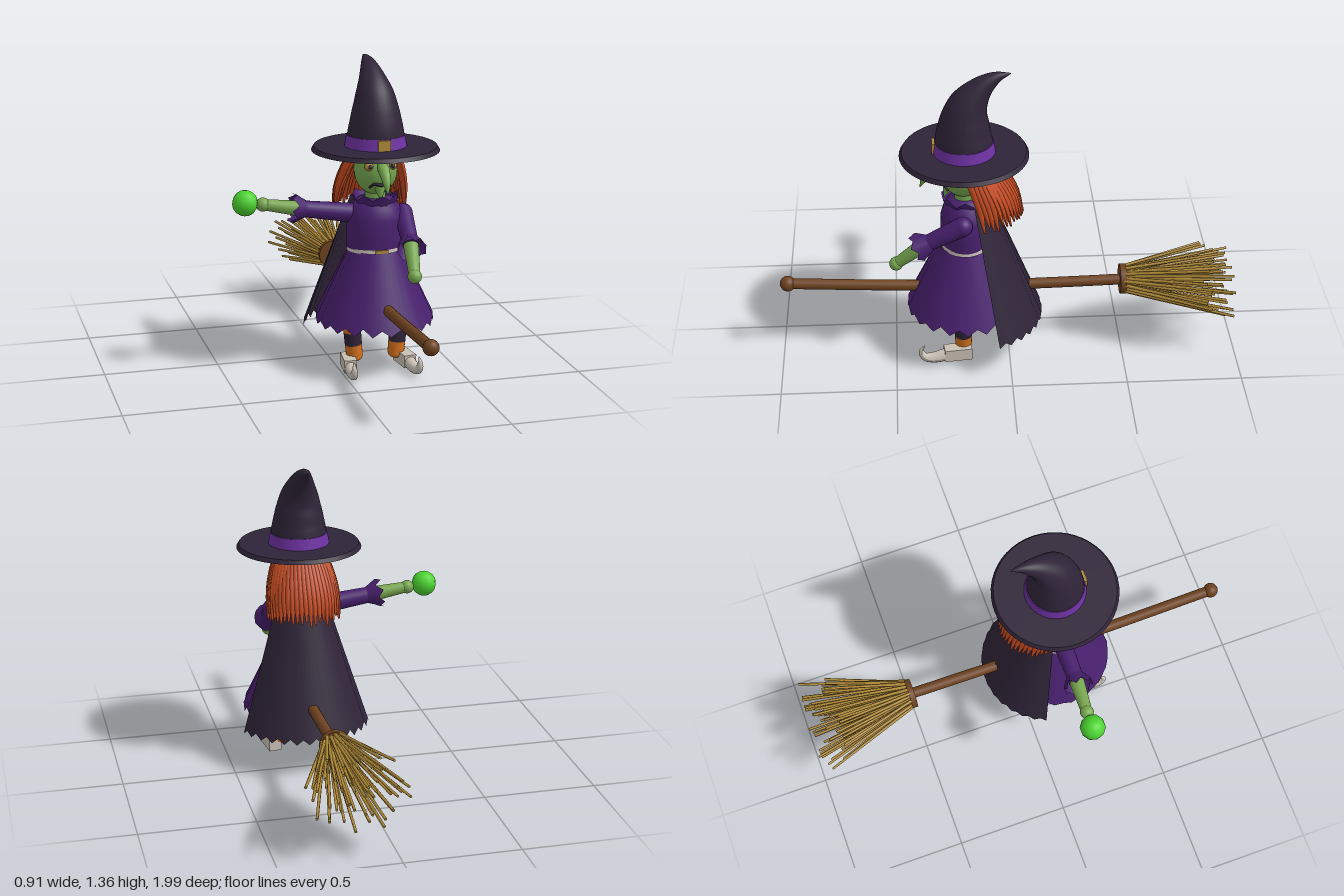
import * as THREE from 'three';

const mat = (name, color, side = THREE.FrontSide) => {
  const m = new THREE.MeshStandardMaterial({ color, side });
  m.name = name;
  return m;
};
const M = {
  dark: mat('midnight cloth', 0x2f2438, THREE.DoubleSide),
  purple: mat('purple cloth', 0x48206e, THREE.DoubleSide),
  violet: mat('violet band', 0x6f32a4),
  skin: mat('green skin', 0x78a850),
  glow: mat('bright green', 0x4cd430),
  hair: mat('red hair', 0xc44a20),
  orange: mat('orange stocking', 0xd4701c),
  wood: mat('brown wood', 0x6e4220),
  straw: mat('straw gold', 0xb08a38),
  bone: mat('pale leather', 0xc9c1b5),
};
const V = (x, y, z) => new THREE.Vector3(x, y, z);
const CX = 0.163, CZ = 0.187; // axis of the body

let seed = 7;
const rand = () => (seed = (seed * 16807) % 2147483647) / 2147483647;

export function createModel() {
  const root = new THREE.Group();
  root.name = 'broomRider';

  const add = (name, geo, m, x = 0, y = 0, z = 0, parent = root) => {
    const mesh = new THREE.Mesh(geo, m);
    mesh.name = name;
    mesh.position.set(x, y, z);
    parent.add(mesh);
    return mesh;
  };
  const ball = (name, r, m, x, y, z, sx = 1, sy = 1, sz = 1) => {
    const b = add(name, new THREE.SphereGeometry(r, 24, 16), m, x, y, z);
    b.scale.set(sx, sy, sz);
    return b;
  };
  // Straight rod from a to b
  const rod = (name, a, b, ra, rb, m, sides = 20, parent = root) => {
    const d = b.clone().sub(a);
    const mesh = add(name, new THREE.CylinderGeometry(rb, ra, d.length(), sides), m, 0, 0, 0, parent);
    mesh.position.copy(a).add(b).multiplyScalar(0.5);
    mesh.quaternion.setFromUnitVectors(V(0, 1, 0), d.normalize());
    return mesh;
  };
  // Tube along a curve whose radius follows a list of values
  const taper = (points, radii, seg, sides) => {
    const curve = new THREE.CatmullRomCurve3(points);
    const geo = new THREE.TubeGeometry(curve, seg, 1, sides);
    const p = geo.attributes.position, v = V(0, 0, 0);
    for (let i = 0; i < p.count; i++) {
      const t = Math.floor(i / (sides + 1)) / seg, k = t * (radii.length - 1);
      const j = Math.min(Math.floor(k), radii.length - 2);
      const r = THREE.MathUtils.lerp(radii[j], radii[j + 1], k - j);
      const c = curve.getPointAt(t);
      v.fromBufferAttribute(p, i).sub(c).multiplyScalar(r).add(c);
      p.setXYZ(i, v.x, v.y, v.z);
    }
    geo.computeVertexNormals();
    return geo;
  };
  // Open cone of cloth with a zigzag lower edge
  const ragged = (rTop, rBottom, h, teeth, depth, start = 0, sweep = Math.PI * 2, shift = 0) => {
    const n = teeth * 2;
    const geo = new THREE.CylinderGeometry(rTop, rBottom, h, n, 1, true, start, sweep);
    const p = geo.attributes.position;
    for (let i = 0; i <= n; i++) {
      const k = n + 1 + i;
      p.setZ(k, p.getZ(k) + shift);
      if (i % 2) p.setY(k, p.getY(k) + depth * (0.6 + 0.6 * rand()));
    }
    return geo;
  };

  // Hat: brim, bent crown, band and buckle
  add('hatBrim', new THREE.CylinderGeometry(0.264, 0.275, 0.018, 48), M.dark, CX, 0.985, CZ);
  add('hatCrown', taper(
    [V(CX, 0.99, CZ), V(CX, 1.1, CZ), V(CX, 1.2, 0.17), V(CX, 1.285, 0.115), V(CX, 1.335, 0.05), V(CX, 1.352, -0.01)],
    [0.13, 0.119, 0.103, 0.082, 0.055, 0.03, 0.002], 30, 32), M.dark);
  add('hatBand', new THREE.CylinderGeometry(0.125, 0.134, 0.05, 40), M.violet, CX, 1.018, CZ);
  add('hatBuckle', new THREE.BoxGeometry(0.055, 0.046, 0.012), M.straw, CX, 1.018, CZ + 0.13);

  // Head and face
  ball('head', 0.1, M.skin, CX, 0.89, 0.19, 0.94, 1.1, 0.97);
  rod('neck', V(CX, 0.72, CZ), V(CX, 0.82, CZ), 0.045, 0.045, M.skin);
  add('nose', taper([V(CX, 0.935, 0.265), V(CX, 0.91, 0.315), V(CX, 0.875, 0.35), V(CX, 0.82, 0.377)],
    [0.014, 0.026, 0.022, 0.016, 0.001], 18, 14), M.skin);
  rod('chin', V(CX, 0.832, 0.252), V(CX, 0.768, 0.275), 0.028, 0.002, M.skin);
  for (const s of [-1, 1]) {
    ball('eye', 0.019, M.straw, CX + s * 0.052, 0.92, 0.264);
    ball('pupil', 0.01, M.dark, CX + s * 0.05, 0.92, 0.278);
    rod('eyebrow', V(CX + s * 0.022, 0.942, 0.283), V(CX + s * 0.062, 0.957, 0.262), 0.006, 0.006, M.dark, 8);
  }
  add('mouth', taper([V(CX - 0.048, 0.826, 0.259), V(CX - 0.03, 0.843, 0.272), V(CX, 0.84, 0.284),
    V(CX + 0.03, 0.843, 0.272), V(CX + 0.048, 0.826, 0.259)], [0.004, 0.007, 0.007, 0.007, 0.004], 20, 8), M.dark);

  // Hair: a fan of strands round the back of the head
  const hair = new THREE.Group();
  hair.name = 'hair';
  root.add(hair);
  for (let i = 0; i < 27; i++) {
    const a = Math.PI + (i / 26 - 0.5) * 3.3;
    const at = (r, y, z) => V(CX + r * Math.sin(a), y, z + r * Math.cos(a));
    const end = 0.675 + 0.035 * rand();
    add('strand', taper([at(0.085, 0.97, 0.175), at(0.118, 0.9, 0.155), at(0.147, 0.8, 0.12), at(0.158, end, 0.095)],
      [0.016, 0.019, 0.017, 0.013, 0.004], 10, 7), M.hair, 0, 0, 0, hair);
  }

  // Dress: bodice, collar, belt and skirt
  const profile = [[0.116, 0.53], [0.118, 0.6], [0.116, 0.68], [0.1, 0.73], [0.072, 0.765], [0.04, 0.77]];
  add('bodice', new THREE.LatheGeometry(profile.map(([r, y]) => new THREE.Vector2(r, y)), 40), M.purple, CX, 0, CZ)
    .scale.set(1.06, 1, 0.9);
  add('collar', ragged(0.075, 0.1, 0.06, 8, 0.025), M.purple, CX, 0.762, CZ).rotation.x = Math.PI;
  add('belt', new THREE.CylinderGeometry(0.123, 0.125, 0.017, 40), M.bone, CX, 0.547, CZ).scale.z = 0.86;
  add('beltBuckle', new THREE.BoxGeometry(0.055, 0.018, 0.008), M.straw, CX, 0.547, CZ + 0.108);
  add('skirt', ragged(0.115, 0.257, 0.33, 20, 0.032), M.purple, CX, 0.378, CZ);

  // Cape hanging round the back
  add('cape', ragged(0.11, 0.305, 0.6, 13, 0.03, Math.PI - 1.22, 2.44, -0.03), M.dark, CX, 0.465, CZ);

  // Arms: sleeve, flared cuff, forearm and hand
  const arm = (name, shoulder, elbow, wrist) => {
    const d = elbow.clone().sub(shoulder).normalize();
    ball(name + 'Shoulder', 0.042, M.purple, shoulder.x, shoulder.y, shoulder.z);
    rod(name + 'Sleeve', shoulder, elbow, 0.042, 0.035, M.purple);
    const cuff = add(name + 'Cuff', ragged(0.036, 0.064, 0.07, 7, 0.025), M.purple);
    cuff.position.copy(elbow);
    cuff.quaternion.setFromUnitVectors(V(0, -1, 0), d);
    rod(name + 'Forearm', elbow, wrist, 0.033, 0.024, M.skin);
    ball(name + 'Hand', 0.03, M.skin, wrist.x, wrist.y, wrist.z);
  };
  arm('rightArm', V(0.06, 0.7, 0.175), V(-0.175, 0.733, 0.168), V(-0.325, 0.757, 0.157));
  arm('leftArm', V(0.285, 0.69, 0.2), V(0.268, 0.592, 0.37), V(0.248, 0.49, 0.488));
  add('magicOrb', new THREE.SphereGeometry(0.056, 10, 8), M.glow, -0.402, 0.768, 0.155);

  // Legs with striped stockings, and curled shoes
  for (const s of [-1, 1]) {
    const side = s < 0 ? 'right' : 'left';
    const top = V(CX + s * 0.12, 0.345, 0.2), foot = V(CX + s * 0.094, 0.055, 0.204);
    for (let i = 0; i < 5; i++) {
      rod(side + 'LegStripe', top.clone().lerp(foot, i / 5), top.clone().lerp(foot, (i + 1) / 5),
        0.042 - i * 0.0012, 0.041 - i * 0.0012, i % 2 ? M.dark : M.orange);
    }
    ball(side + 'Ankle', 0.033, M.orange, foot.x, foot.y, foot.z, 1, 0.6, 1);
    const shoe = new THREE.Group();
    shoe.name = side + 'Shoe';
    shoe.position.set(CX + s * 0.125, 0, 0.205);
    shoe.rotation.y = s * 0.12;
    root.add(shoe);
    add('shoeBody', new THREE.BoxGeometry(0.056, 0.056, 0.12), M.bone, 0, 0.04, 0.025, shoe);
    add('shoeToe', taper([V(0, 0.036, 0.07), V(0, 0.025, 0.13), V(0, 0.033, 0.172), V(0, 0.065, 0.187), V(0, 0.092, 0.172)],
      [0.028, 0.026, 0.021, 0.014, 0.002], 20, 12), M.bone, 0, 0, 0, shoe);
  }

  // Broom: bowed stick, knob, binding and bristles
  const bow = new THREE.CatmullRomCurve3([V(CX, 0.346, 0.965), V(CX, 0.318, 0.45), V(CX, 0.306, 0), V(CX, 0.315, -0.58)]);
  add('broomStick', new THREE.TubeGeometry(bow, 24, 0.024, 16), M.wood);
  ball('broomKnob', 0.034, M.wood, CX, 0.346, 0.966);
  add('broomBinding', new THREE.CylinderGeometry(0.067, 0.067, 0.026, 28), M.wood, CX, 0.316, -0.505).rotation.x = Math.PI / 2;
  const bristles = new THREE.Group();
  bristles.name = 'bristles';
  root.add(bristles);
  for (let i = 0; i < 64; i++) {
    const a = i * 2.39996, r = Math.sqrt((i + 0.5) / 64);
    const x = r * Math.cos(a), y = r * Math.sin(a);
    rod('bristle', V(CX + x * 0.058, 0.316 + y * 0.058, -0.5),
      V(CX + x * 0.218, 0.298 + y * 0.155, -0.85 - 0.145 * rand()), 0.008, 0.006, M.straw, 6, bristles);
  }
  return root;
}
